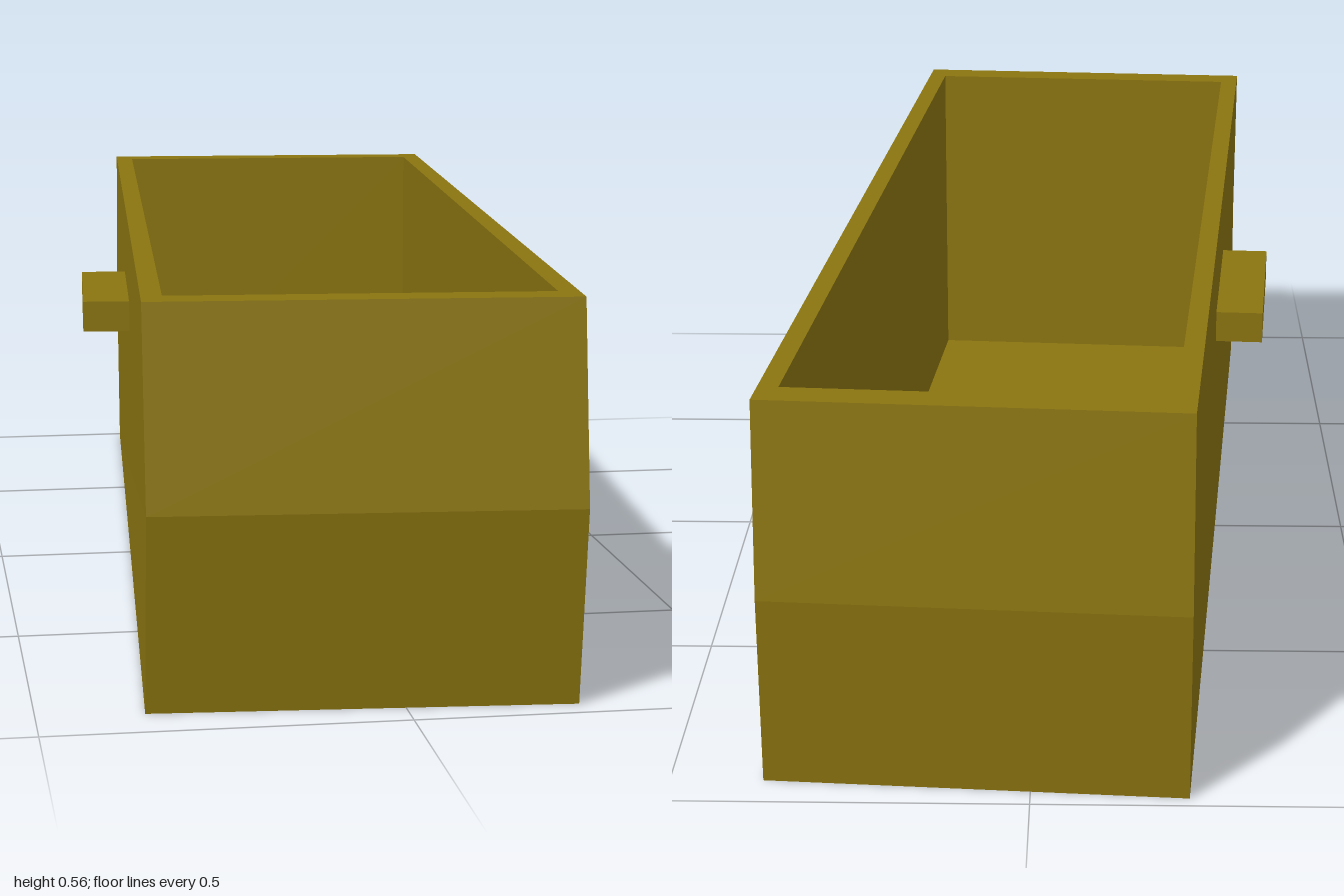
import * as THREE from 'three';

// The whole trough sits slightly turned about this centre
const TURN = -0.0705;
const CENTRE = { x: 0.009, z: -0.0095 };

// Turned rectangular loop at height y; the ends can be pushed out along z
function loop(y, halfX, halfZ, frontBulge = 0, backBulge = 0) {
  const c = Math.cos(TURN), s = Math.sin(TURN);
  return [[-1, 1], [1, 1], [1, -1], [-1, -1]].map(([sx, sz]) => {
    const x = sx * halfX, z = sz * halfZ;
    const bulge = sz > 0 ? frontBulge : -backBulge;
    return [CENTRE.x + x * c + z * s, y, CENTRE.z - x * s + z * c + bulge];
  });
}

// Join successive loops with quads, then cap the first (facing down) and last (facing up)
function loft(loops) {
  const pos = [];
  const quad = (a, b, c, d) => pos.push(...a, ...b, ...c, ...a, ...c, ...d);
  for (let i = 0; i < loops.length - 1; i++) {
    for (let j = 0; j < 4; j++) {
      const k = (j + 1) % 4;
      quad(loops[i][j], loops[i][k], loops[i + 1][k], loops[i + 1][j]);
    }
  }
  const [a, b, c, d] = loops[0];
  quad(d, c, b, a);
  quad(...loops[loops.length - 1]);
  const geometry = new THREE.BufferGeometry();
  geometry.setAttribute('position', new THREE.Float32BufferAttribute(pos, 3));
  geometry.computeVertexNormals();
  return geometry;
}

export function createModel() {
  const model = new THREE.Group();
  model.name = 'trough';
  const ochre = new THREE.MeshStandardMaterial({ color: 0x8a7410 });
  ochre.name = 'dark ochre';

  // Open tub: ends bulge at mid height, inner walls are upright, floor is thin
  const tub = new THREE.Mesh(loft([
    loop(0, 0.295, 0.951),
    loop(0.28, 0.295, 0.951, 0.039, 0.022),
    loop(0.56, 0.295, 0.951),
    loop(0.56, 0.266, 0.898),
    loop(0.022, 0.266, 0.898),
  ]), ochre);
  tub.name = 'tub';
  model.add(tub);

  // Bar handle on one long side
  const handle = new THREE.Mesh(new THREE.BoxGeometry(0.078, 0.048, 0.338), ochre);
  handle.name = 'handle';
  handle.position.set(-0.32, 0.419, -0.028);
  handle.rotation.y = TURN;
  model.add(handle);

  return model;
}
